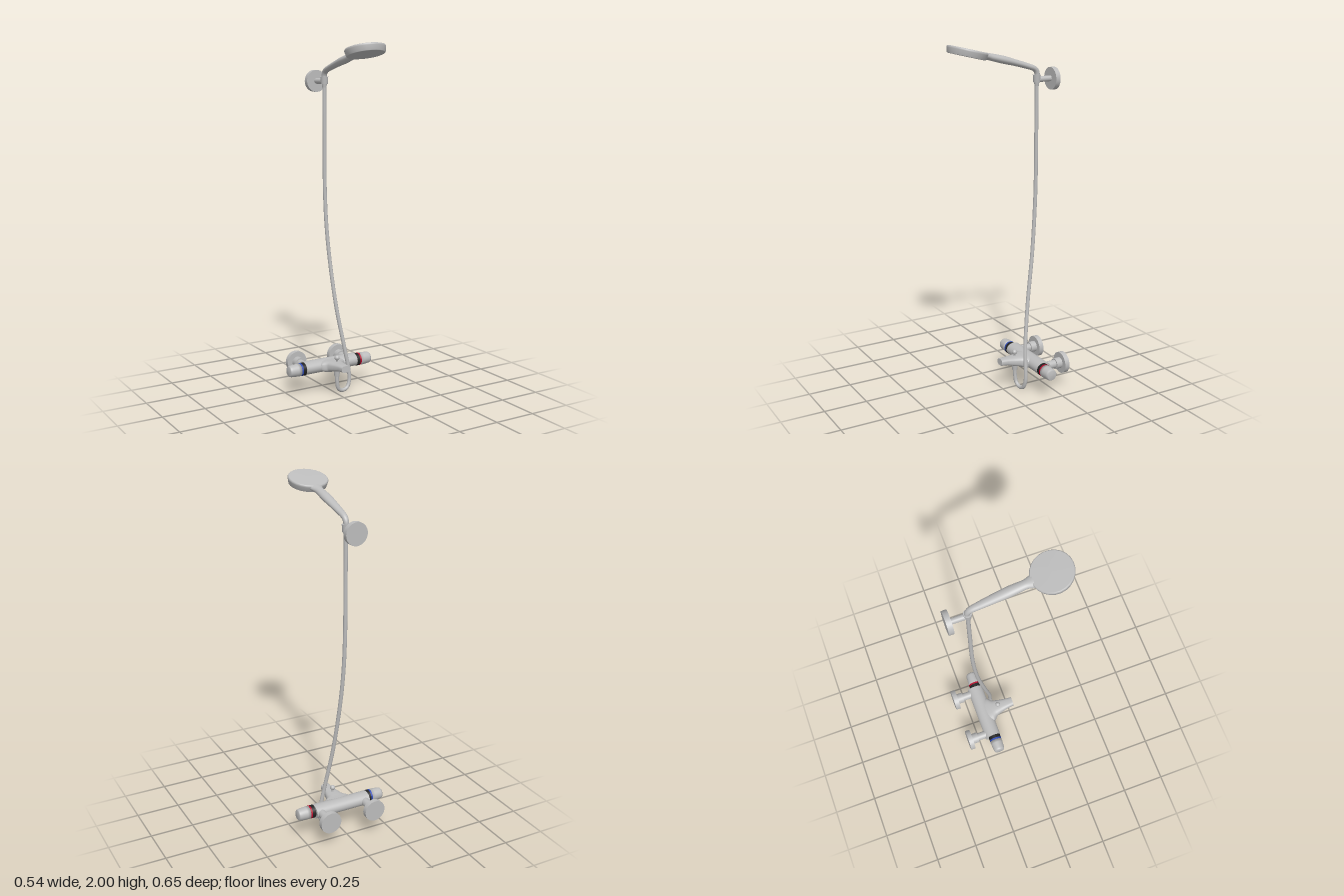
import * as THREE from 'three';

const material = (name, color) => {
  const m = new THREE.MeshStandardMaterial({ color });
  m.name = name;
  return m;
};

// Loft in the YZ plane: stations are [y, z, half width, half depth]
function loft(stations, power = 1, steps = 40, sides = 28) {
  const path = new THREE.CatmullRomCurve3(stations.map(s => new THREE.Vector3(0, s[0], s[1])));
  const size = new THREE.CatmullRomCurve3(stations.map(s => new THREE.Vector3(s[2], s[3], 0)));
  const X = new THREE.Vector3(1, 0, 0);
  const pos = [], index = [];
  const ring = (t, k) => {
    const p = path.getPoint(t), r = size.getPoint(t);
    const n = path.getTangent(t).cross(X);
    for (let j = 0; j < sides; j++) {
      const a = (j / sides) * Math.PI * 2, c = Math.cos(a), s = Math.sin(a);
      const u = Math.sign(c) * Math.abs(c) ** power * r.x * k;
      const v = Math.sign(s) * Math.abs(s) ** power * r.y * k;
      pos.push(u, p.y + n.y * v, p.z + n.z * v);
    }
  };
  // Doubled end rings keep the cap edges sharp
  ring(0, 0); ring(0, 1);
  for (let i = 0; i <= steps; i++) ring(i / steps, 1);
  ring(1, 1); ring(1, 0);
  const rings = pos.length / 3 / sides;
  for (let i = 0; i < rings - 1; i++) {
    if (i === 1 || i === rings - 3) continue;
    for (let j = 0; j < sides; j++) {
      const k = (j + 1) % sides;
      const a = i * sides + j, b = i * sides + k, c = a + sides, d = b + sides;
      index.push(a, b, c, b, d, c);
    }
  }
  const g = new THREE.BufferGeometry();
  g.setAttribute('position', new THREE.Float32BufferAttribute(pos, 3));
  g.setIndex(index);
  g.computeVertexNormals();
  return g;
}

export function createModel() {
  const chrome = material('chrome', 0xbcbcbc);
  const black = material('black', 0x222222);
  const blue = material('blue', 0x2f4bb5);
  const red = material('red', 0xb80a2c);

  const root = new THREE.Group();
  root.name = 'showerMixer';
  const add = (name, geometry, mat = chrome, parent = root) => {
    const mesh = new THREE.Mesh(geometry, mat);
    mesh.name = name;
    parent.add(mesh);
    return mesh;
  };
  // Cylinder running along z
  const rodZ = (name, x, y, z0, z1, r) => add(name,
    new THREE.CylinderGeometry(r, r, z1 - z0, 32).rotateX(Math.PI / 2).translate(x, y, (z0 + z1) / 2));
  // Cylinder running along y
  const rodY = (name, y0, y1, z, r0, r1 = r0) => add(name,
    new THREE.CylinderGeometry(r1, r0, y1 - y0, 28).translate(0, (y0 + y1) / 2, z));

  const mixY = 0.156, bodyZ = -0.172, knobZ = -0.164;

  // Mixer body
  add('mixerBody', new THREE.CylinderGeometry(0.038, 0.038, 0.34, 40)
    .rotateZ(Math.PI / 2).scale(1, 1, 1.25).translate(0, mixY + 0.001, bodyZ));

  // Knobs, collars and temperature bands, with wall unions behind
  const profile = [[0, 0.2], [0.037, 0.2], [0.0365, 0.22], [0.034, 0.255], [0.032, 0.265], [0.027, 0.271], [0, 0.272]];
  for (const side of [-1, 1]) {
    const knob = new THREE.Group();
    knob.name = side < 0 ? 'rightKnob' : 'leftKnob';
    knob.position.set(0, mixY, knobZ);
    knob.rotation.z = -side * Math.PI / 2;
    root.add(knob);
    add('knobGrip', new THREE.LatheGeometry(profile.map(p => new THREE.Vector2(p[0], p[1])), 32), chrome, knob);
    add('knobCollar', new THREE.CylinderGeometry(0.037, 0.037, 0.022, 32).translate(0, 0.179, 0), black, knob);
    add('temperatureBand', new THREE.CylinderGeometry(0.0372, 0.0372, 0.01, 32).translate(0, 0.195, 0),
      side < 0 ? blue : red, knob);

    const x = side * 0.14;
    rodZ('unionPipe', x, mixY, -0.265, -0.19, 0.024);
    rodZ('unionNut', x, mixY, -0.302, -0.264, 0.032);
    rodZ('wallFlange', x, mixY, -0.328, -0.3, 0.062);
  }

  // Spout flaring out of the body
  add('spout', loft([
    [0.158, -0.16, 0.09, 0.035],
    [0.159, -0.125, 0.078, 0.034],
    [0.163, -0.1, 0.052, 0.031],
    [0.168, -0.06, 0.04, 0.026],
    [0.174, -0.02, 0.032, 0.021],
    [0.176, 0.02, 0.027, 0.019],
  ], 0.7));

  // Diverter pull on top of the spout
  rodY('diverterStem', 0.18, 0.212, -0.078, 0.006);
  add('diverterBall', new THREE.SphereGeometry(0.015, 20, 14).translate(0, 0.218, -0.078));

  // Hose with its end fittings
  rodY('hoseOutlet', 0.108, 0.16, -0.08, 0.015, 0.021);
  const hosePath = new THREE.CatmullRomCurve3([
    [0, 1.8, -0.213], [0, 1.5, -0.213], [0, 1.2, -0.212], [0.003, 1.0, -0.203],
    [0.012, 0.8, -0.185], [0.034, 0.5, -0.143], [0.07, 0.25, -0.108], [0.092, 0.12, -0.099],
    [0.093, 0.06, -0.096], [0.075, 0.022, -0.092], [0.04, 0.013, -0.088],
    [0.012, 0.03, -0.084], [0.002, 0.07, -0.081], [0, 0.13, -0.08],
  ].map(p => new THREE.Vector3(...p)));
  add('hose', new THREE.TubeGeometry(hosePath, 140, 0.011, 14));
  rodY('hoseNut', 1.755, 1.785, -0.213, 0.012, 0.016);

  // Wall bracket for the hand shower
  rodZ('bracketArm', 0, 1.79, -0.302, -0.213, 0.016);
  rodZ('bracketFlange', 0, 1.79, -0.328, -0.3, 0.062);
  rodY('bracketHolder', 1.775, 1.815, -0.213, 0.019, 0.022);

  // Hand shower handle bending forward
  add('showerHandle', loft([
    [1.79, -0.213, 0.014, 0.014],
    [1.825, -0.214, 0.015, 0.015],
    [1.847, -0.2, 0.017, 0.015],
    [1.866, -0.15, 0.021, 0.016],
    [1.888, -0.075, 0.025, 0.018],
    [1.908, 0, 0.028, 0.021],
    [1.926, 0.075, 0.025, 0.019],
    [1.936, 0.12, 0.038, 0.018],
  ], 1, 60));

  // Tilted round shower head
  const headProfile = [[0, -0.02], [0.1, -0.02], [0.104, -0.018], [0.11, 0.008], [0.11, 0.014], [0.107, 0.019], [0.104, 0.02], [0, 0.021]];
  const head = add('showerHead', new THREE.LatheGeometry(headProfile.map(p => new THREE.Vector2(p[0], p[1])), 24));
  head.position.set(0, 1.955, 0.214);
  head.rotation.x = -0.24;

  return root;
}
